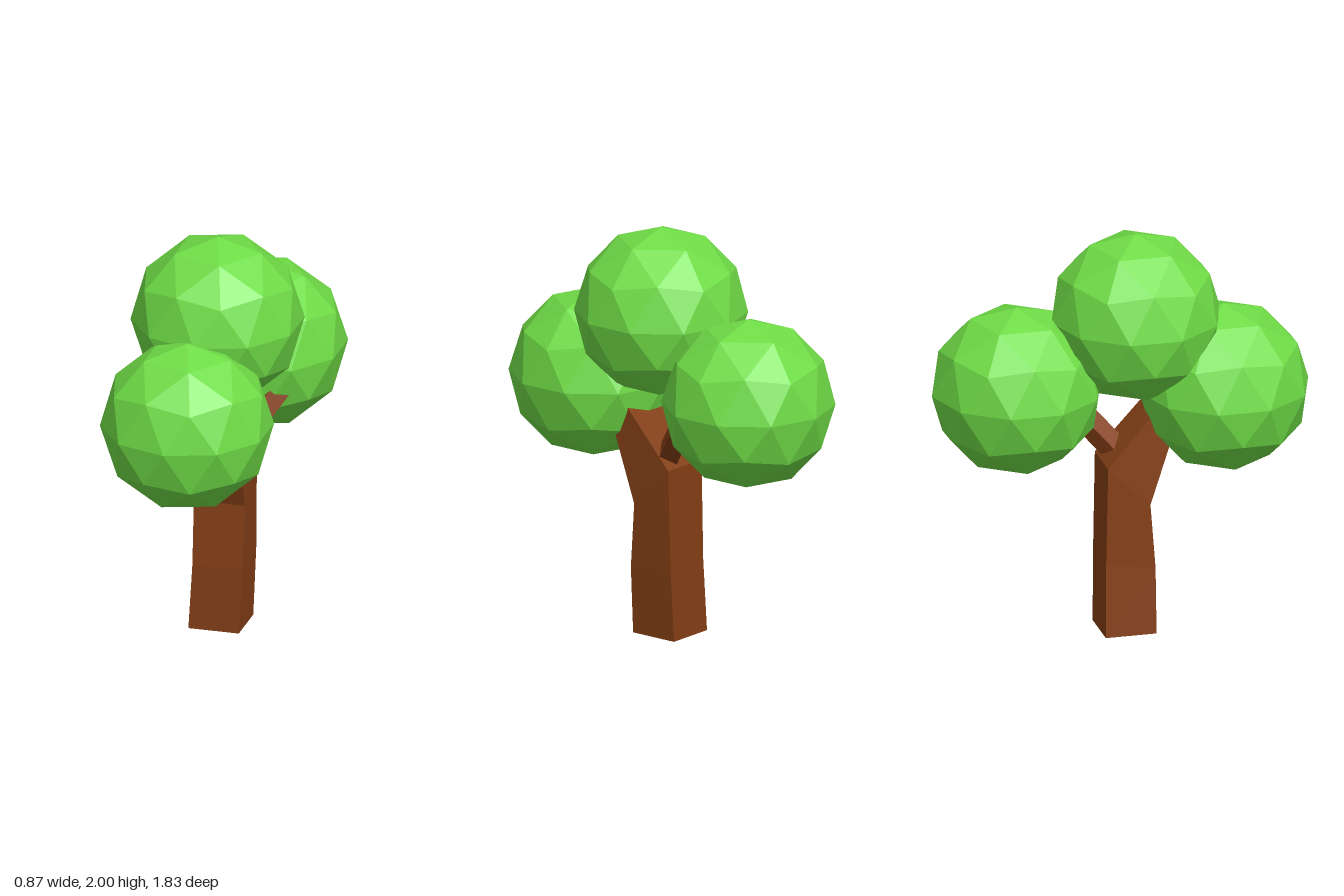
import * as THREE from 'three';

const bark = new THREE.MeshStandardMaterial({ color: 0x843f16, flatShading: true });
const leaves = new THREE.MeshStandardMaterial({ color: 0x6fdc46, flatShading: true });

// Four-sided trunk: each ring has x range, front edge (y, z) and back edge (y, z)
function trunkGeometry() {
  const rings = [
    { x0: -0.135, x1: 0.115, front: [0, 0.145], back: [0, -0.105] },
    { x0: -0.115, x1: 0.132, front: [0.33, 0.145], back: [0.36, -0.098] },
    { x0: -0.115, x1: 0.138, front: [0.65, 0.12], back: [0.85, -0.088] },
    { x0: -0.07, x1: 0.138, front: [1.15, 0.298], back: [1.21, 0.243] },
  ];
  const positions = [];
  for (const { x0, x1, front: [yf, zf], back: [yb, zb] } of rings) {
    positions.push(x0, yf, zf, x1, yf, zf, x1, yb, zb, x0, yb, zb);
  }
  const index = [0, 3, 2, 0, 2, 1];
  for (let i = 0; i < rings.length - 1; i++) {
    for (let j = 0; j < 4; j++) {
      const a = i * 4 + j, b = i * 4 + (j + 1) % 4;
      index.push(a, b, b + 4, a, b + 4, a + 4);
    }
  }
  const t = (rings.length - 1) * 4;
  index.push(t, t + 1, t + 2, t, t + 2, t + 3);
  const geometry = new THREE.BufferGeometry();
  geometry.setAttribute('position', new THREE.Float32BufferAttribute(positions, 3));
  geometry.setIndex(index);
  geometry.computeVertexNormals();
  return geometry;
}

// Square branch between two points, one edge turned to the side
function branchGeometry(start, end, radius) {
  const along = end.clone().sub(start);
  const length = along.length();
  along.normalize();
  const side = new THREE.Vector3(1, 0, 0).addScaledVector(along, -along.x).normalize();
  const across = side.clone().cross(along);
  const geometry = new THREE.CylinderGeometry(radius, radius, length, 4);
  geometry.applyMatrix4(new THREE.Matrix4().makeBasis(side, along, across)
    .setPosition(start.clone().lerp(end, 0.5)));
  return geometry;
}

export function createModel() {
  const group = new THREE.Group();
  group.name = 'tree';
  const add = (name, geometry, material) => {
    const mesh = new THREE.Mesh(geometry, material);
    mesh.name = name;
    group.add(mesh);
    return mesh;
  };

  // Trunk and rear branch
  add('trunk', trunkGeometry(), bark);
  add('rearBranch', branchGeometry(
    new THREE.Vector3(0.03, 0.865, 0.01), new THREE.Vector3(0.22, 1.15, -0.25), 0.065), bark);

  // Leaf balls, turned so that one corner points straight up
  const ball = new THREE.IcosahedronGeometry(0.415, 1);
  ball.rotateZ(-Math.atan(2 / (1 + Math.sqrt(5))));
  const crowns = {
    frontCrown: [-0.04, 1.2, 0.5],
    topCrown: [-0.01, 1.585, 0.075],
    rearCrown: [0.04, 1.245, -0.5],
  };
  for (const [name, position] of Object.entries(crowns)) {
    add(name, ball, leaves).position.set(...position);
  }
  return group;
}
